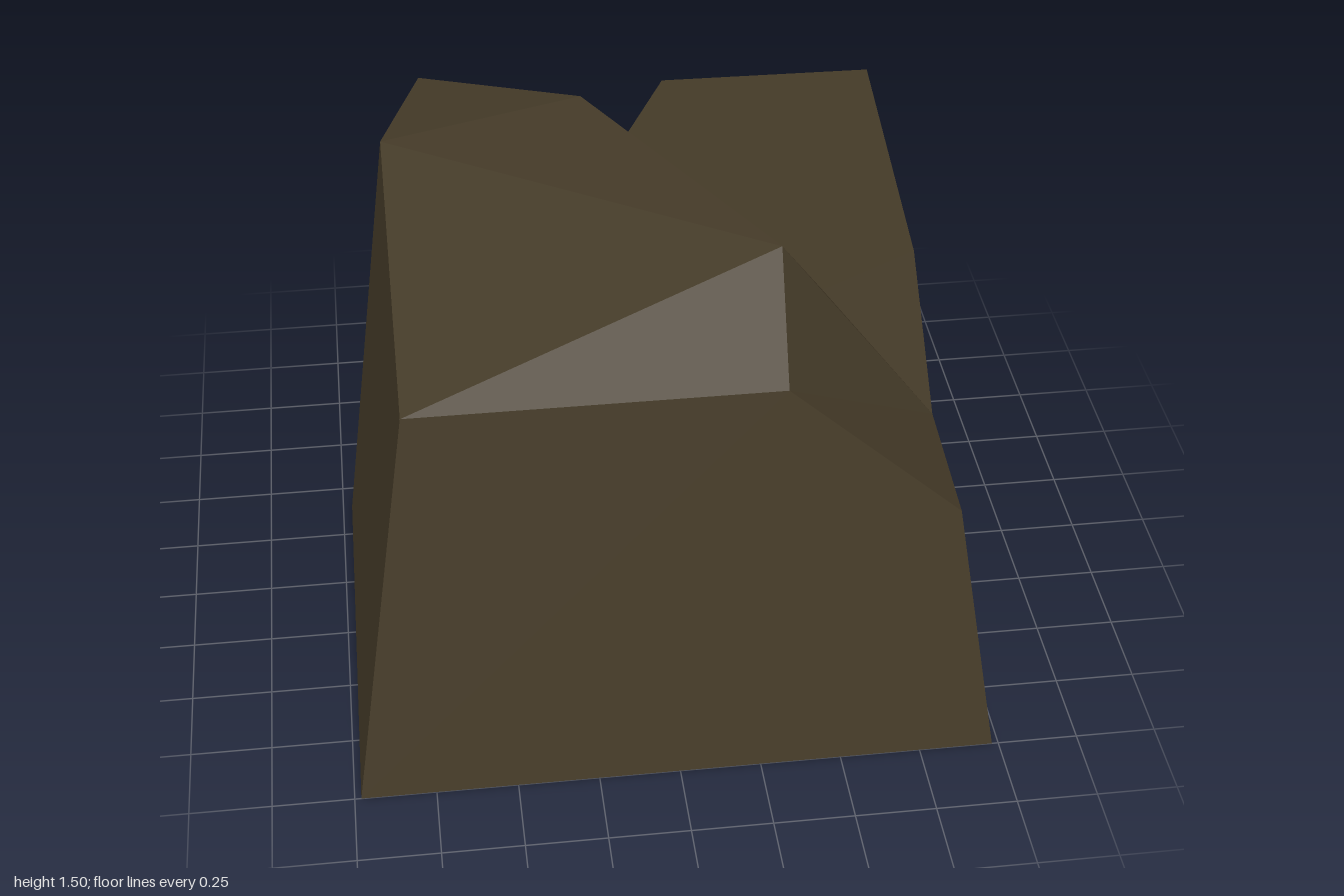
import * as THREE from 'three';

const stone = new THREE.MeshStandardMaterial({ color: 0x453b28 });
stone.name = 'dark stone';

// Named corners of the boulder
const P = {
  // base outline
  frontLeft: [-0.98, 0, 1], frontRight: [0.98, 0, 1], backRight: [0.86, 0, -0.92],
  cleftRight: [0.15, 0, -0.92], cleft: [0.02, 0, -0.68],
  backLeft: [-0.69, 0, -0.92], sideLeft: [-0.97, 0, -0.4],
  // tall summit
  a: [-0.78, 1.28, 0.79], b: [0.33, 1.28, 0.79], e: [0.37, 1.5, 0.38],
  l: [-0.13, 1.49, -0.57], m: [-0.64, 1.41, -0.89], n: [-0.78, 1.47, -0.4],
  // chipped right corner
  c: [0.85, 0.84, 0.86], d: [0.86, 0.85, 0.4],
  // lower ledge
  f: [0.51, 1.29, 0.32], g: [0.83, 1.28, 0.13], h: [0.9, 1.28, -0.99],
  i: [0.19, 1.28, -1], k: [0, 1.28, -0.6],
};

// Faceted mesh from polygons, each fanned from its first corner
function facets(name, polygons) {
  const pos = [];
  for (const text of polygons) {
    const q = text.split(' ').map((key) => P[key]);
    for (let j = 1; j < q.length - 1; j++) pos.push(...q[0], ...q[j], ...q[j + 1]);
  }
  const geo = new THREE.BufferGeometry();
  geo.setAttribute('position', new THREE.Float32BufferAttribute(pos, 3));
  geo.computeVertexNormals();
  const mesh = new THREE.Mesh(geo, stone);
  mesh.name = name;
  return mesh;
}

export function createModel() {
  const rock = new THREE.Group();
  rock.name = 'rock';
  rock.add(
    facets('sides', [
      'frontLeft frontRight c b a',
      'd c frontRight backRight h g',
      'backRight cleftRight i h',
      'sideLeft frontLeft a n',
      'backLeft sideLeft n m',
    ]),
    facets('backCleft', [
      'cleftRight cleft k i',
      'cleft l k',
      'cleft backLeft m l',
    ]),
    facets('summit', ['e n a b', 'n e l', 'n l m', 'e f k l']),
    facets('chippedCorner', ['b c d', 'b d e', 'e d f', 'f d g']),
    facets('ledge', ['f g h i k']),
    facets('underside', ['cleft cleftRight backRight frontRight frontLeft sideLeft backLeft']),
  );
  return rock;
}
